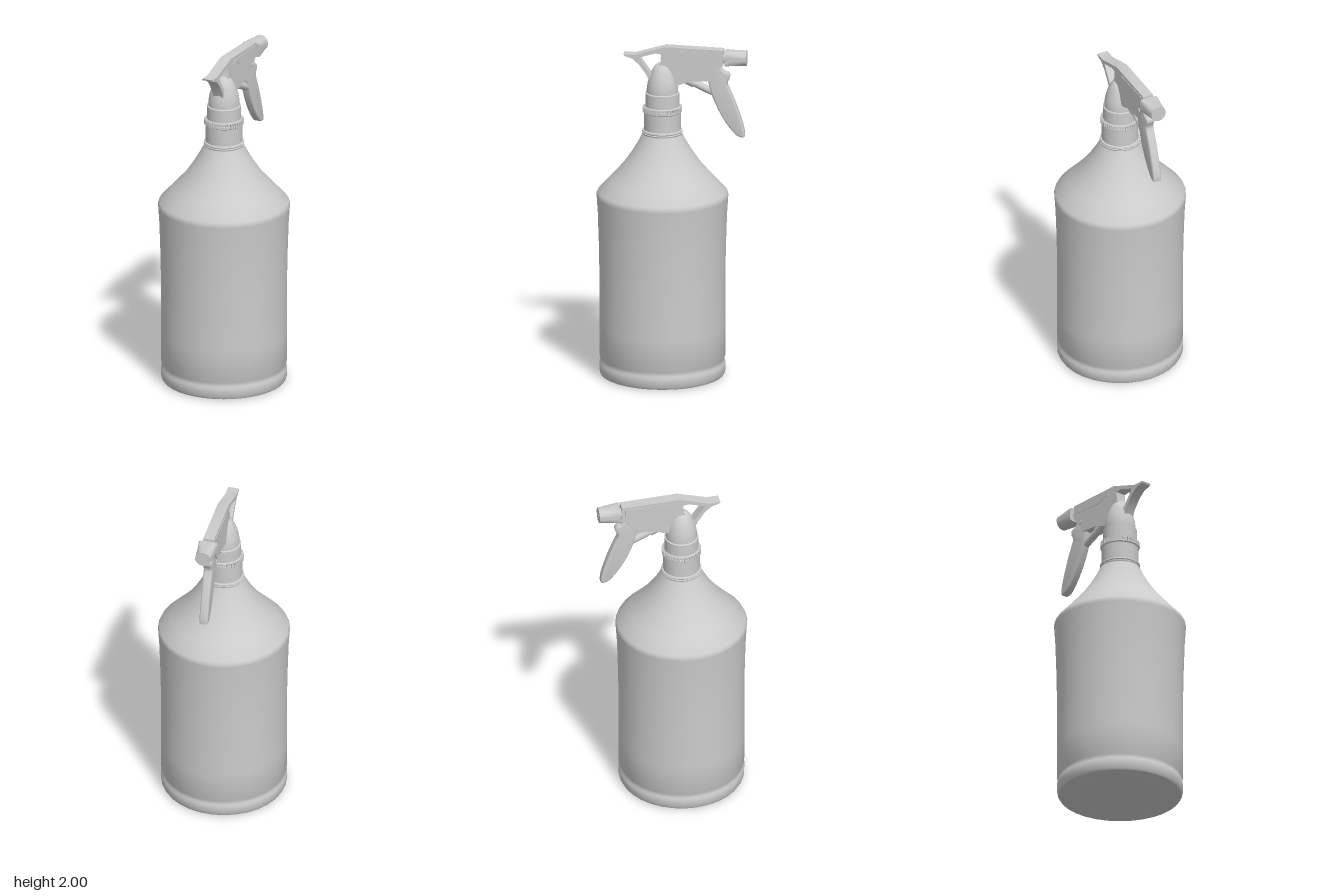
import * as THREE from 'three';
import { toCreasedNormals } from 'three/addons/utils/BufferGeometryUtils.js';

const material = new THREE.MeshStandardMaterial({ color: 0xcccccc });

function add(parent, name, geometry, x = 0, y = 0, z = 0) {
  const mesh = new THREE.Mesh(geometry, material);
  mesh.name = name;
  mesh.position.set(x, y, z);
  parent.add(mesh);
  return mesh;
}

const vectors = (points) => points.map(([x, y]) => new THREE.Vector2(x, y));

function lathe(points, segments) {
  return toCreasedNormals(new THREE.LatheGeometry(vectors(points), segments), 0.6);
}

// Side outline given thickness, centred on z = 0
function plate(shape, width, bevel = 0) {
  const depth = width - 2 * bevel;
  const geometry = new THREE.ExtrudeGeometry(shape, {
    depth, curveSegments: 8, bevelEnabled: bevel > 0, bevelThickness: bevel,
    bevelSize: bevel, bevelOffset: -bevel, bevelSegments: 3,
  });
  geometry.translate(0, 0, -depth / 2);
  return toCreasedNormals(geometry, 0.6);
}

// Square at the back, blending to a round tip at the front
function nozzleGeometry(length) {
  const geometry = new THREE.CylinderGeometry(1, 1, length, 32, 8);
  geometry.rotateZ(-Math.PI / 2);
  const p = geometry.attributes.position;
  for (let i = 0; i < p.count; i++) {
    const t = p.getX(i) / length + 0.5;
    const y = p.getY(i), z = p.getZ(i);
    const r = Math.hypot(y, z);
    if (r < 0.01) continue;
    const square = r / Math.max(Math.abs(y), Math.abs(z));
    const k = THREE.MathUtils.lerp(Math.min(square, 1.3), 1, Math.min(1, t * 1.15));
    p.setY(i, y * k * THREE.MathUtils.lerp(0.042, 0.047, t));
    p.setZ(i, z * k * THREE.MathUtils.lerp(0.057, 0.047, t));
  }
  return toCreasedNormals(geometry, 0.6);
}

export function createModel() {
  const model = new THREE.Group();
  model.name = 'sprayBottle';
  const sprayer = new THREE.Group();
  sprayer.name = 'sprayer';
  model.add(sprayer);

  // Bottle: rounded base, grooved foot, flared body, concave shoulder
  add(model, 'bottle', lathe([
    [0, 0], [0.345, 0], [0.36, 0.006], [0.368, 0.02], [0.37, 0.05], [0.37, 0.075],
    [0.364, 0.085], [0.364, 0.108], [0.37, 0.12], [0.369, 0.3], [0.369, 0.6],
    [0.373, 0.8], [0.379, 0.98], [0.386, 1.085], [0.387, 1.1], [0.379, 1.117],
    [0.31, 1.19], [0.23, 1.28], [0.175, 1.36], [0.14, 1.42], [0.12, 1.46], [0.113, 1.475],
  ], 32), -0.007);

  // Neck ring and screw collar
  add(model, 'collar', lathe([
    [0.105, 1.465], [0.117, 1.467], [0.119, 1.474], [0.115, 1.479], [0.119, 1.484],
    [0.117, 1.491], [0.108, 1.494], [0.108, 1.596], [0.113, 1.6], [0.113, 1.612],
    [0.106, 1.616], [0.106, 1.632], [0.1, 1.636], [0.1, 1.714], [0.092, 1.718],
  ], 40), -0.007);

  // Grip teeth around the collar
  const teeth = new THREE.Group();
  teeth.name = 'collarTeeth';
  teeth.position.set(-0.007, 1.616, 0);
  model.add(teeth);
  const toothGeometry = new THREE.BoxGeometry(0.008, 0.03, 0.014);
  for (let i = 0; i < 44; i++) {
    const a = (i / 44) * Math.PI * 2;
    const tooth = add(teeth, 'tooth', toothGeometry, Math.sin(a) * 0.109, 0, Math.cos(a) * 0.109);
    tooth.rotation.y = a;
  }

  // Domed cap under the pump
  add(model, 'dome', lathe([
    [0.092, 1.714], [0.092, 1.74], [0.087, 1.775], [0.076, 1.815], [0.062, 1.85],
    [0.045, 1.878], [0.025, 1.895], [0, 1.901],
  ], 32), -0.007);

  // The pump points along its own +x and is turned about the bottle axis
  sprayer.position.x = -0.007;
  sprayer.rotation.y = THREE.MathUtils.degToRad(42);

  // Pump housing with tail, brace and the opening between them
  const housing = new THREE.Shape(vectors([
    [-0.227, 1.951], [-0.222, 1.94], [-0.175, 1.925], [-0.135, 1.89], [-0.09, 1.825],
    [-0.07, 1.77], [0.1, 1.77], [0.17, 1.795], [0.29, 1.8], [0.325, 1.86],
    [0.362, 1.9], [0.362, 1.986], [0.02, 2.0], [-0.16, 1.948],
  ]));
  housing.holes.push(new THREE.Path(vectors([
    [-0.135, 1.932], [-0.04, 1.96], [-0.005, 1.955], [-0.01, 1.9],
    [-0.045, 1.835], [-0.068, 1.835], [-0.115, 1.9],
  ])));
  add(sprayer, 'housing', plate(housing, 0.066));

  // Raised side panels
  const panel = new THREE.Shape(vectors([
    [0.06, 1.955], [0.11, 1.955], [0.13, 1.93], [0.34, 1.93],
    [0.34, 1.972], [0.08, 1.976],
  ]));
  add(sprayer, 'sidePanels', plate(panel, 0.072));

  // Trigger hinge pin
  const pin = new THREE.CylinderGeometry(0.014, 0.014, 0.078, 16);
  pin.rotateX(Math.PI / 2);
  add(sprayer, 'hingePin', pin, 0.31, 1.865);

  // Nozzle on a short stem
  const stem = new THREE.CylinderGeometry(0.03, 0.03, 0.04, 20);
  stem.rotateZ(-Math.PI / 2);
  add(sprayer, 'nozzleStem', stem, 0.365, 1.935);
  add(sprayer, 'nozzle', nozzleGeometry(0.127), 0.4335, 1.936);
  const orifice = new THREE.CylinderGeometry(0.005, 0.005, 0.004, 12);
  orifice.rotateZ(-Math.PI / 2);
  add(sprayer, 'orifice', orifice, 0.497, 1.936);

  // Curved trigger lever
  const lever = new THREE.Shape();
  lever.moveTo(0.3, 1.87);
  lever.lineTo(0.27, 1.81);
  lever.quadraticCurveTo(0.275, 1.75, 0.3, 1.69);
  lever.quadraticCurveTo(0.35, 1.56, 0.43, 1.475);
  lever.quadraticCurveTo(0.455, 1.45, 0.485, 1.46);
  lever.quadraticCurveTo(0.488, 1.49, 0.47, 1.55);
  lever.quadraticCurveTo(0.43, 1.68, 0.385, 1.77);
  lever.quadraticCurveTo(0.38, 1.79, 0.395, 1.81);
  lever.quadraticCurveTo(0.41, 1.85, 0.365, 1.855);
  lever.lineTo(0.345, 1.88);
  add(sprayer, 'trigger', plate(lever, 0.052, 0.01));

  // Piston rod from the housing to the trigger
  const rod = add(sprayer, 'pistonRod', new THREE.CylinderGeometry(0.022, 0.022, 0.21, 20), 0.2, 1.772);
  rod.rotation.z = Math.atan2(-0.18, -0.085);
  const sleeve = add(sprayer, 'pistonSleeve', new THREE.CylinderGeometry(0.028, 0.028, 0.1, 20), 0.145, 1.798);
  sleeve.rotation.z = rod.rotation.z;

  return model;
}
